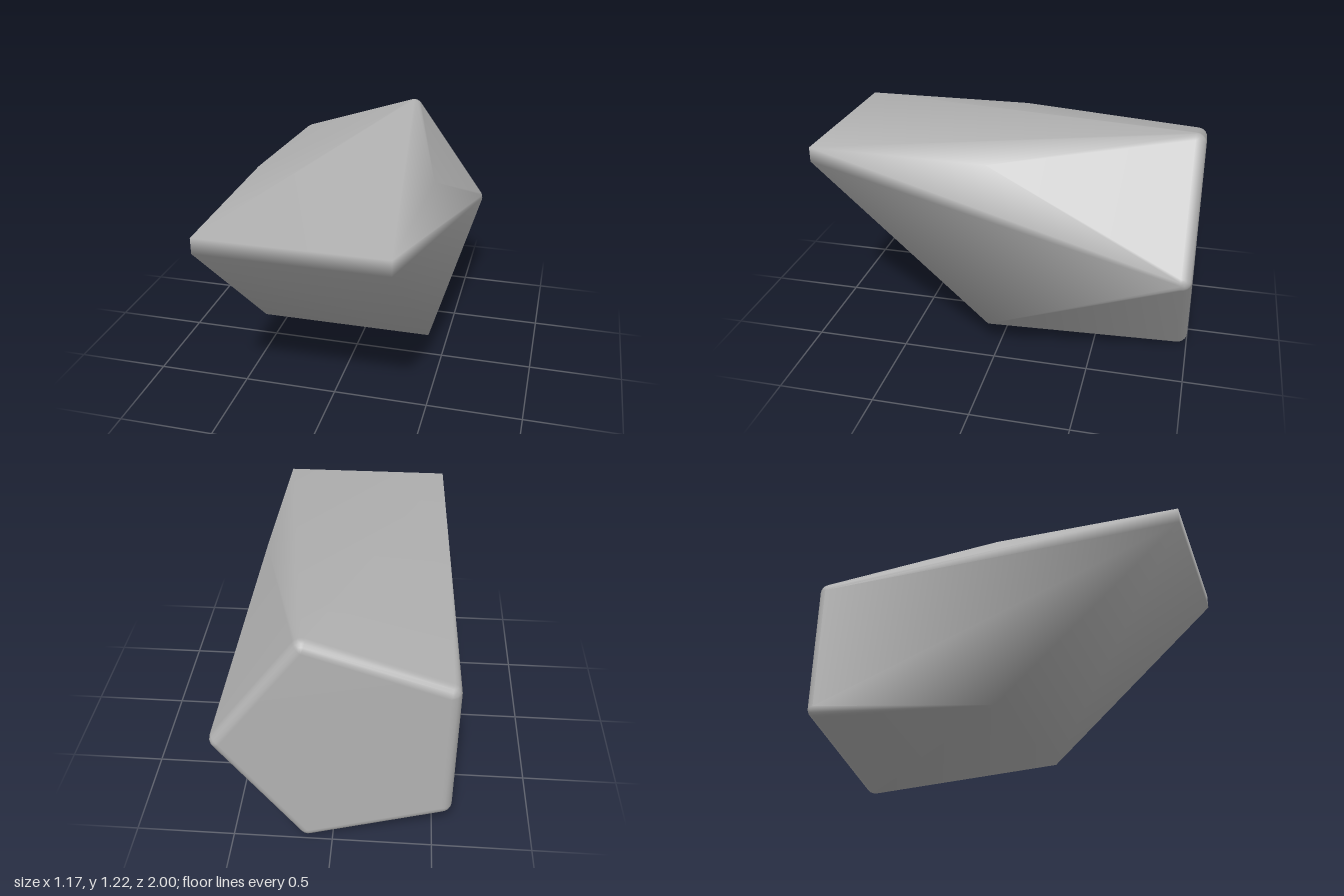
import * as THREE from 'three';
import { mergeVertices } from 'three/addons/utils/BufferGeometryUtils.js';
import { ConvexGeometry } from 'three/addons/geometries/ConvexGeometry.js';

const CENTER_X = -0.057, CENTER_Y = 0.612;

export function createModel() {
  const group = new THREE.Group();
  group.name = 'facetedBlock';
  const grey = new THREE.MeshStandardMaterial({ color: 0xb2b2b2 });
  grey.name = 'grey';

  const points = [];

  // Rounded pentagon at the back: five small ball corners
  const ringRadius = 0.587, round = 0.053;
  const rings = 5, around = 20;
  for (let i = 0; i < 5; i++) {
    const a = (i / 5) * Math.PI * 2;
    const cx = CENTER_X + ringRadius * Math.cos(a);
    const cy = CENTER_Y + ringRadius * Math.sin(a);
    const cz = -1 + round;
    points.push(new THREE.Vector3(cx, cy, -1));
    for (let r = 1; r <= rings; r++) {
      const t = (r / rings) * Math.PI / 2;
      for (let s = 0; s < around; s++) {
        const p = (s / around) * Math.PI * 2;
        points.push(new THREE.Vector3(
          cx + round * Math.sin(t) * Math.cos(p),
          cy + round * Math.sin(t) * Math.sin(p),
          cz - round * Math.cos(t)));
      }
    }
  }

  // Square shoulder in the middle
  for (const x of [-0.54, 0.427])
    for (const y of [0.154, 1.079]) points.push(new THREE.Vector3(x, y, 0.05));

  // Blunt upper lip at the front, making the sloping wedge
  for (const x of [-0.52, 0.406])
    for (const y of [1.0, 1.079]) points.push(new THREE.Vector3(x, y, 1));

  // Wrap everything in one skin with smooth normals
  let skin = new ConvexGeometry(points);
  skin.deleteAttribute('normal');
  skin = mergeVertices(skin, 1e-5);
  skin.computeVertexNormals();

  const body = new THREE.Mesh(skin, grey);
  body.name = 'wedgeBody';
  group.add(body);
  return group;
}
